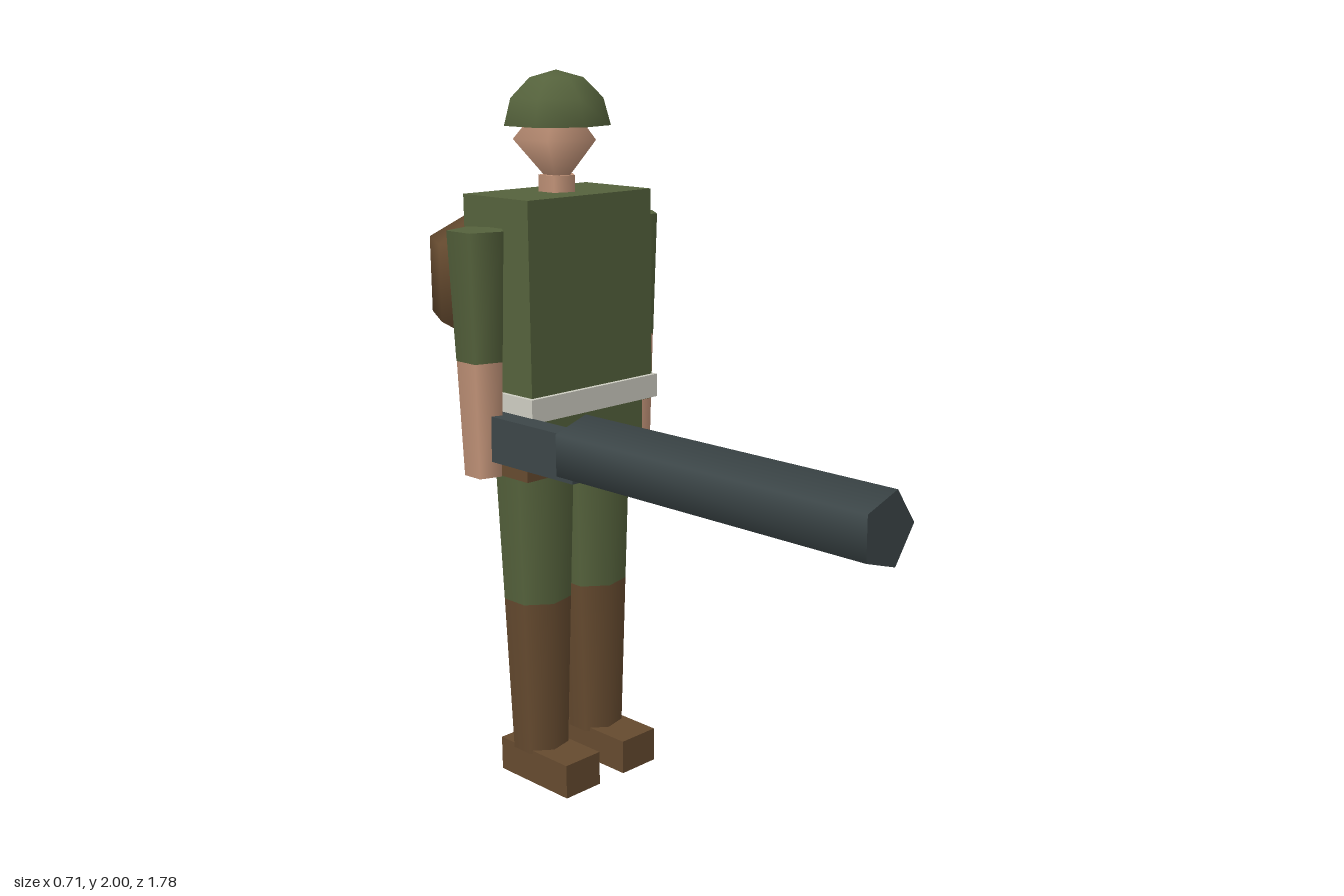
import * as THREE from 'three';

const mat = (name, color, side = THREE.FrontSide) => {
  const m = new THREE.MeshStandardMaterial({ color, side });
  m.name = name;
  return m;
};

export function createModel() {
  const green = mat('olive cloth', 0x55623c, THREE.DoubleSide);
  const brown = mat('brown leather', 0x654a2f);
  const skin = mat('skin', 0xc4957a);
  const webbing = mat('pale webbing', 0xcdccc1);
  const metal = mat('gun metal', 0x3c4648);

  const group = new THREE.Group();
  const CX = -0.01, CZ = -0.44; // body axis

  const add = (name, geo, material, x, y, z) => {
    const mesh = new THREE.Mesh(geo, material);
    mesh.name = name;
    mesh.position.set(x, y, z);
    group.add(mesh);
    return mesh;
  };
  // Box given by its min and max corners
  const box = (name, material, [x0, y0, z0], [x1, y1, z1]) =>
    add(name, new THREE.BoxGeometry(x1 - x0, y1 - y0, z1 - z0), material,
      (x0 + x1) / 2, (y0 + y1) / 2, (z0 + z1) / 2);
  // Upright tapered prism with one corner pointing to +x
  const prism = (name, material, sides, x, z, y0, y1, r0, r1) =>
    add(name, new THREE.CylinderGeometry(r1, r0, y1 - y0, sides).rotateY(Math.PI / 2),
      material, x, (y0 + y1) / 2, z);

  // Trunk
  box('torso', green, [-0.233, 1.09, -0.57], [0.214, 1.68, -0.31]);
  box('hips', green, [-0.209, 0.96, -0.56], [0.19, 1.1, -0.325]);
  box('belt', webbing, [-0.245, 1.095, -0.583], [0.224, 1.16, -0.297]);

  // Head, neck and open helmet
  prism('neck', skin, 5, CX, CZ, 1.62, 1.725, 0.053, 0.053);
  add('head', new THREE.SphereGeometry(0.119, 5, 2).rotateY(Math.PI).scale(1, 1.18, 1),
    skin, CX, 1.82, CZ);
  add('helmet', new THREE.SphereGeometry(0.146, 7, 3, 0, Math.PI * 2, 0, Math.PI / 2).rotateY(Math.PI),
    green, CX, 1.856, CZ).scale.y = 0.986;

  // Limbs, mirrored about the body axis
  for (const [side, s] of [['left', 1], ['right', -1]]) {
    const ax = CX + s * 0.282, lx = CX + s * 0.108, fx = CX + s * 0.111;
    prism(side + 'Sleeve', green, 5, ax, CZ - 0.003, 1.255, 1.6, 0.066, 0.08);
    prism(side + 'Forearm', skin, 5, ax, CZ - 0.003, 0.94, 1.255, 0.054, 0.065);
    prism(side + 'Trouser', green, 7, lx, CZ, 0.55, 0.965, 0.096, 0.111);
    prism(side + 'BootShaft', brown, 7, lx, CZ, 0.09, 0.55, 0.08, 0.096);
    box(side + 'Shoe', brown, [fx - 0.064, 0, -0.537], [fx + 0.064, 0.1, -0.257]);
  }

  // Carried kit
  add('backpack', new THREE.SphereGeometry(0.217, 6, 3), brown, CX, 1.418, -0.729);
  prism('canteen', green, 5, 0.198, -0.497, 0.945, 1.085, 0.066, 0.066);
  box('pouch', brown, [-0.27, 0.94, -0.42], [-0.157, 1.07, -0.293]);

  // Long gun held in the right hand, pointing forward
  box('gunStock', metal, [-0.303, 0.985, -0.48], [-0.242, 1.11, -0.08]);
  add('gunBarrel', new THREE.CylinderGeometry(0.093, 0.093, 0.98, 5).rotateY(Math.PI / 2).rotateX(Math.PI / 2),
    metal, -0.273, 1.069, 0.4);

  return group;
}
